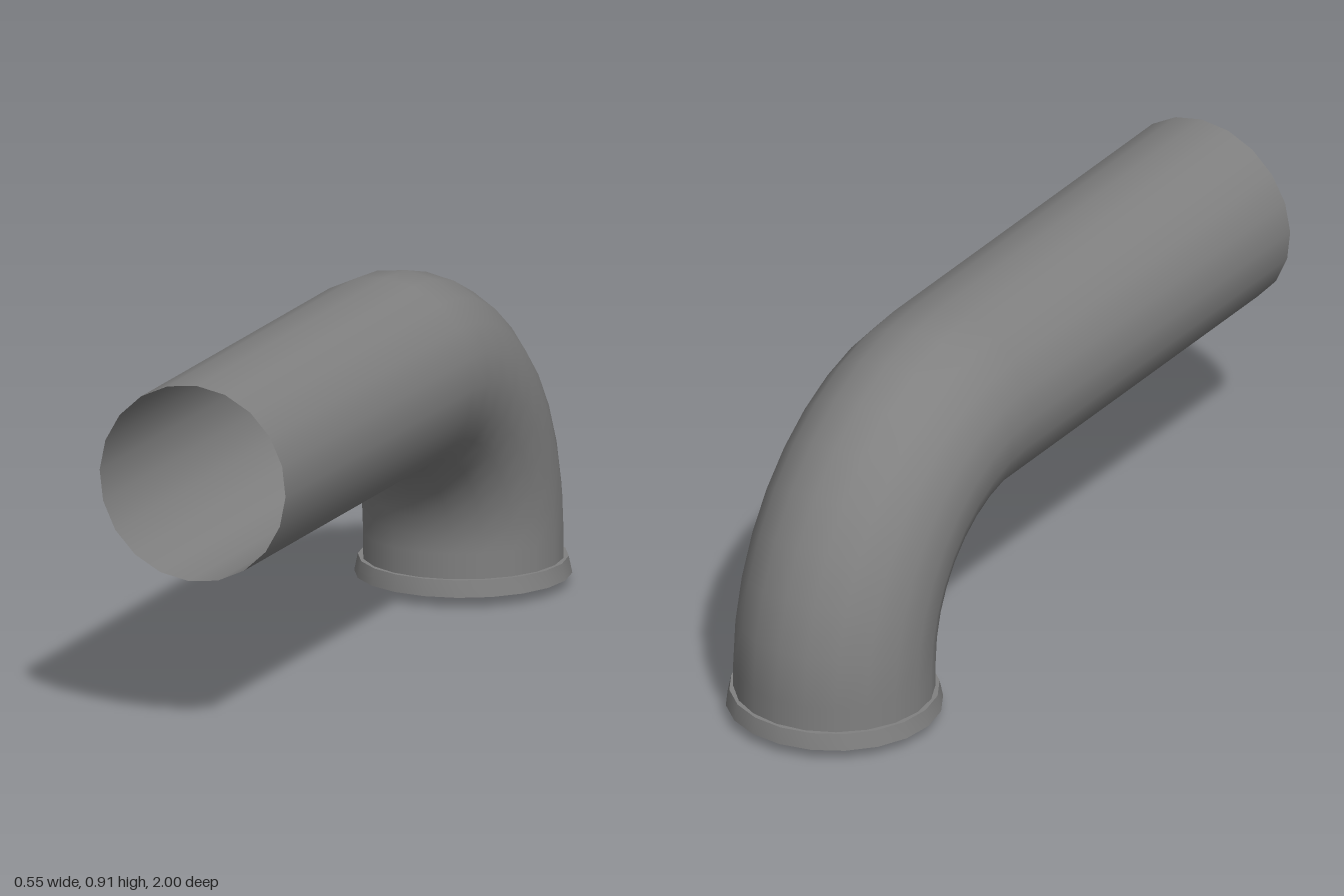
import * as THREE from 'three';
import { toCreasedNormals } from 'three/addons/utils/BufferGeometryUtils.js';

const SIDES = 20, RADIUS = 0.255;
const BEND = { z: -0.2, y: 0.135, r: 0.523, steps: 9 };
const AXIS_Z = BEND.z - BEND.r;

// Open pipe: a grid wrapped around a path of rings
function pipeGeometry() {
  // each ring: centre z, centre y, turn angle
  const rings = [[1, BEND.y + BEND.r, 0]];
  for (let i = 0; i <= BEND.steps; i++) {
    const t = (i / BEND.steps) * Math.PI / 2;
    rings.push([BEND.z - BEND.r * Math.sin(t), BEND.y + BEND.r * Math.cos(t), t]);
  }
  rings.push([AXIS_Z, 0.05, Math.PI / 2]);

  const geo = new THREE.PlaneGeometry(1, 1, SIDES, rings.length - 1);
  const pos = geo.attributes.position, nor = geo.attributes.normal;
  rings.forEach(([z, y, t], j) => {
    for (let i = 0; i <= SIDES; i++) {
      const a = (i / SIDES) * Math.PI * 2 - 0.04;
      const k = j * (SIDES + 1) + i;
      const nx = -Math.sin(a), ny = Math.cos(a) * Math.cos(t), nz = -Math.cos(a) * Math.sin(t);
      nor.setXYZ(k, nx, ny, nz);
      pos.setXYZ(k, nx * RADIUS, y + ny * RADIUS, z + nz * RADIUS);
    }
  });
  return geo;
}

// Flared collar with a stepped underside
function collarGeometry() {
  const profile = [
    [0, 0.004], [0.098, 0.004], [0.1, 0], [0.148, 0], [0.152, 0.003], [0.152, 0.011],
    [0.195, 0.011], [0.2, 0.02], [0.21, 0.02], [0.275, 0.027], [0.266, 0.07], [0.25, 0.07],
  ].map(([x, y]) => new THREE.Vector2(x, y));
  return toCreasedNormals(new THREE.LatheGeometry(profile, SIDES, 0.04), 0.5);
}

export function createModel() {
  const group = new THREE.Group();
  group.name = 'pipeElbow';
  const metal = new THREE.MeshStandardMaterial({ color: 0x808080, side: THREE.DoubleSide });
  metal.name = 'grey metal';

  const pipe = new THREE.Mesh(pipeGeometry(), metal);
  pipe.name = 'bentPipe';
  const collar = new THREE.Mesh(collarGeometry(), metal);
  collar.name = 'endCollar';
  collar.position.z = AXIS_Z;
  group.add(pipe, collar);
  return group;
}
